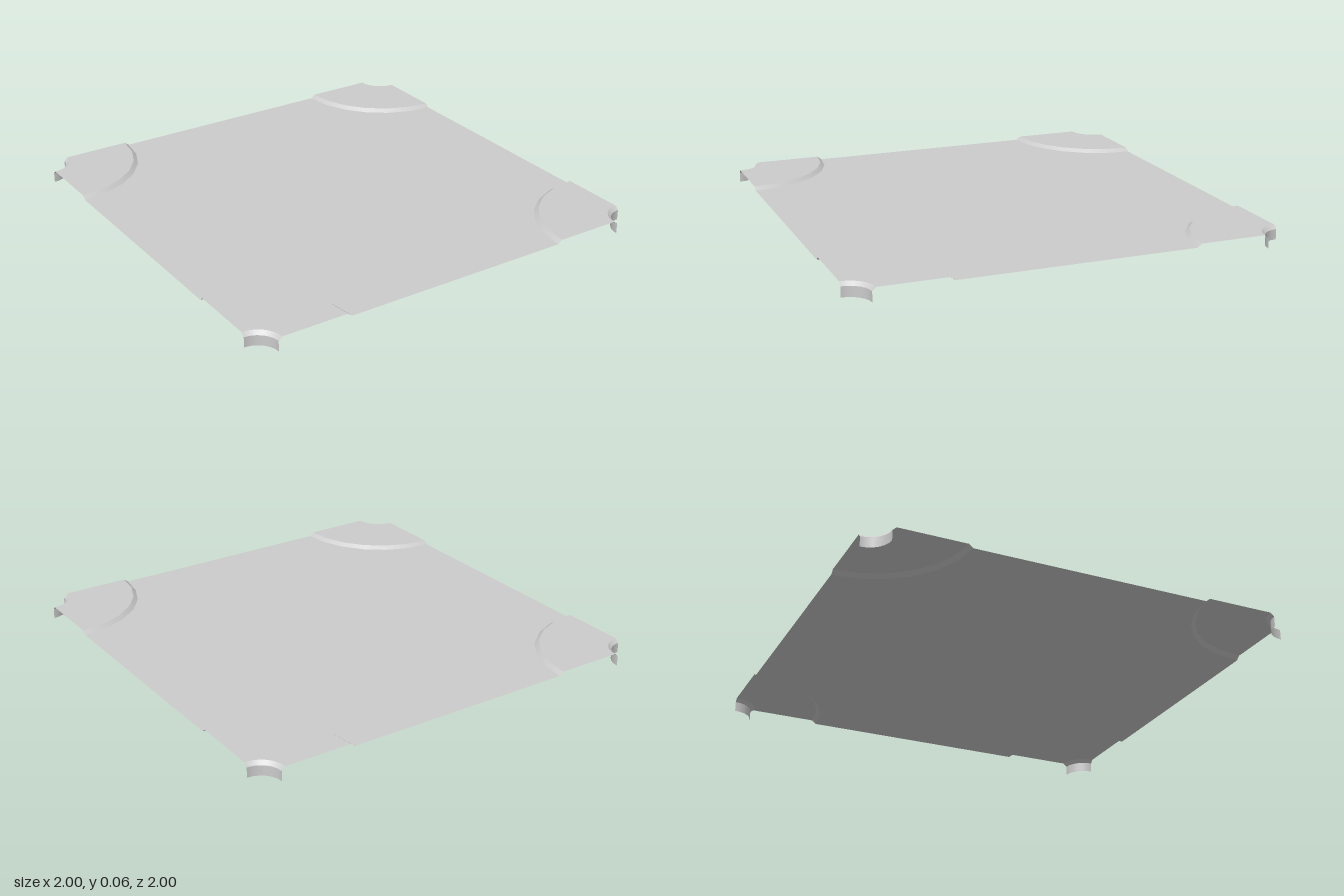
import * as THREE from 'three';

const SHEET_Y = 0.047, PAD_Y = 0.063;   // heights of the sheet and the raised corners
const PAD_OUTER = 0.45, PAD_INNER = 0.43; // foot and top of the sloped pad edge
const LIP = 0.117, HOLE = 0.1;          // countersunk hole at each corner
const SEGMENTS = 6;                     // sides per quarter circle

export function createModel() {
  const model = new THREE.Group();
  model.name = 'mountingPanel';
  const metal = new THREE.MeshStandardMaterial({ color: 0xcccccc, side: THREE.DoubleSide });
  metal.name = 'light grey metal';

  const add = (parent, name, geometry, y) => {
    const mesh = new THREE.Mesh(geometry, metal);
    mesh.name = name;
    mesh.position.y = y;
    parent.add(mesh);
  };

  // Open quarter cone or cylinder wall
  const quarterWall = (top, bottom, height) =>
    new THREE.CylinderGeometry(top, bottom, height, SEGMENTS, 1, true, 0, Math.PI / 2);

  // Flat sheet with a quarter circle cut from each corner
  const outline = [];
  for (let k = 0; k < 4; k++) {
    for (let i = 0; i <= SEGMENTS; i++) {
      const a = (i / SEGMENTS) * Math.PI / 2;
      let x = -1 + PAD_OUTER * Math.cos(a);
      let z = -1 + PAD_OUTER * Math.sin(a);
      for (let r = 0; r < k; r++) [x, z] = [z, -x];
      outline.push(new THREE.Vector2(x, -z));
    }
  }
  const sheet = new THREE.ShapeGeometry(new THREE.Shape(outline)).rotateX(-Math.PI / 2);
  add(model, 'sheet', sheet, SHEET_Y);

  // Raised corner: pad, sloped edge, countersink and short collar
  const step = PAD_Y - SHEET_Y;
  const pad = new THREE.RingGeometry(LIP, PAD_INNER, SEGMENTS, 1, Math.PI * 1.5, Math.PI / 2)
    .rotateX(-Math.PI / 2);
  const slope = quarterWall(PAD_INNER, PAD_OUTER, step);
  const countersink = quarterWall(LIP, HOLE, step);
  const collar = quarterWall(HOLE, HOLE, SHEET_Y);

  for (let k = 0; k < 4; k++) {
    const turn = new THREE.Group();
    turn.name = 'cornerTurn' + (k + 1);
    turn.rotation.y = k * Math.PI / 2;
    const corner = new THREE.Group();
    corner.name = 'corner' + (k + 1);
    corner.position.set(-1, 0, -1);
    add(corner, 'pad', pad, PAD_Y);
    add(corner, 'padSlope', slope, SHEET_Y + step / 2);
    add(corner, 'countersink', countersink, SHEET_Y + step / 2);
    add(corner, 'collar', collar, SHEET_Y / 2);
    turn.add(corner);
    model.add(turn);
  }
  return model;
}
